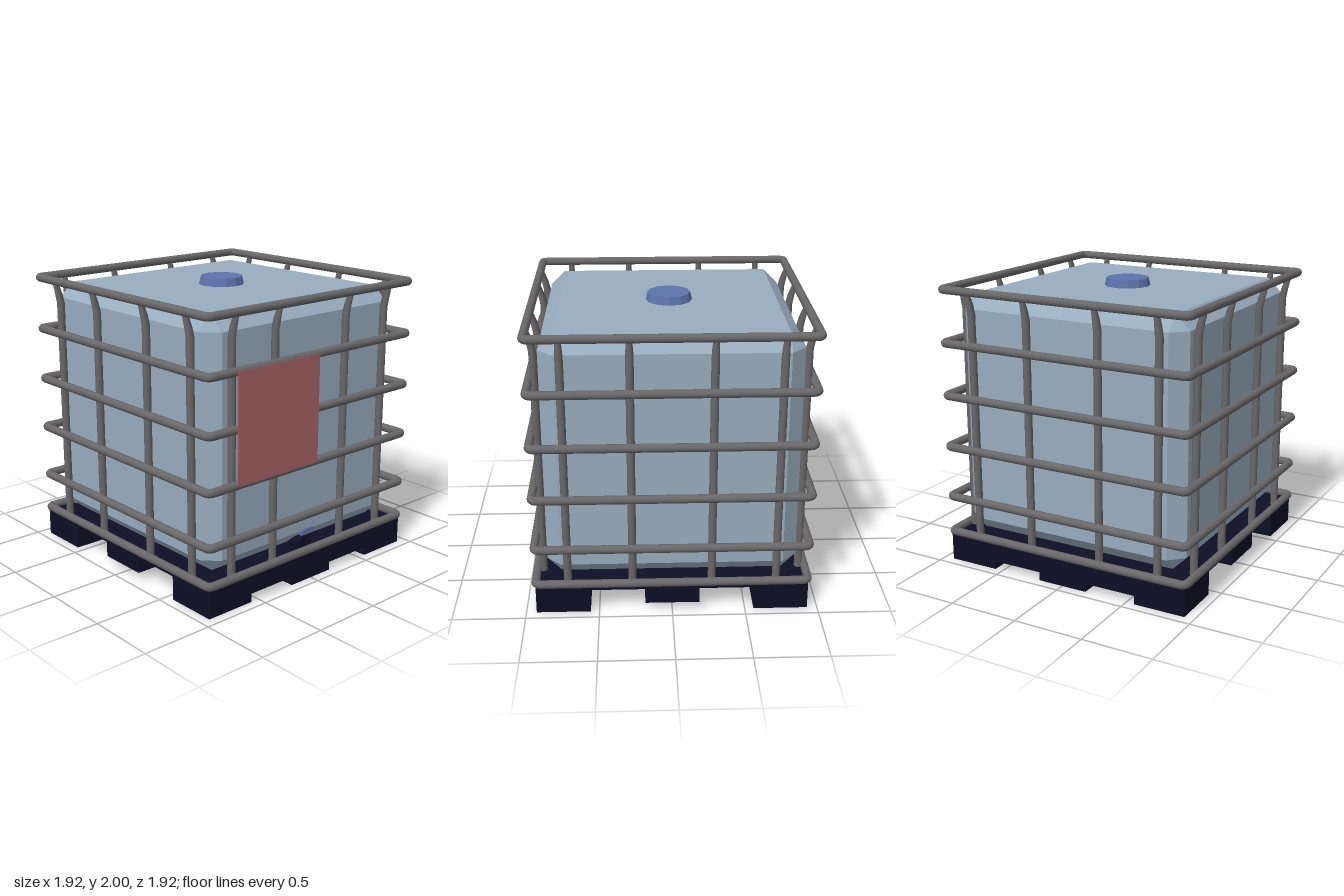
import * as THREE from 'three';
import { ConvexGeometry } from 'three/addons/geometries/ConvexGeometry.js';

const mat = (name, color, flatShading = false) => {
  const m = new THREE.MeshStandardMaterial({ color, flatShading });
  m.name = name;
  return m;
};

export function createModel() {
  const steel = mat('grey steel', 0x696767);
  const plastic = mat('pale blue plastic', 0x98adbf, true);
  const black = mat('navy black', 0x0e0e26, true);
  const blue = mat('cap blue', 0x5d73ab, true);
  const red = mat('panel red', 0xaa6464);

  const model = new THREE.Group();
  model.name = 'caged tank on pallet';
  const add = (parent, name, geometry, material, x = 0, y = 0, z = 0) => {
    const mesh = new THREE.Mesh(geometry, material);
    mesh.name = name;
    mesh.position.set(x, y, z);
    parent.add(mesh);
    return mesh;
  };
  const group = (name) => {
    const g = new THREE.Group();
    g.name = name;
    model.add(g);
    return g;
  };
  // Box given by its limits
  const block = (parent, name, material, x0, x1, y0, y1, z0, z1) =>
    add(parent, name, new THREE.BoxGeometry(x1 - x0, y1 - y0, z1 - z0), material,
      (x0 + x1) / 2, (y0 + y1) / 2, (z0 + z1) / 2);

  // Pallet: deck, three stringers, and feet under the front and back stringers
  const pallet = group('pallet');
  block(pallet, 'deck', black, -0.93, 0.93, 0.17, 0.205, -0.93, 0.93);
  for (const z of [-0.745, 0, 0.745]) {
    block(pallet, 'stringer', black, -0.93, 0.93, 0.06, 0.17, z - 0.185, z + 0.185);
    if (z === 0) continue;
    for (const x of [-0.745, 0, 0.745])
      block(pallet, 'foot', black, x - 0.185, x + 0.185, 0, 0.06, z - 0.185, z + 0.185);
  }

  // Tank: a box with every edge chamfered
  const half = [0.857, 0.855, 0.857], bevel = 0.1, points = [];
  for (const sx of [-1, 1]) for (const sy of [-1, 1]) for (const sz of [-1, 1])
    for (let axis = 0; axis < 3; axis++) {
      const p = half.map((h, i) => (i === axis ? h : h - bevel));
      points.push(new THREE.Vector3(sx * p[0], sy * p[1], sz * p[2]));
    }
  add(model, 'tank', new ConvexGeometry(points), plastic, 0, 1.085, -0.002);

  // Filling cap
  add(model, 'cap', new THREE.CylinderGeometry(0.148, 0.162, 0.06, 12), blue, 0, 1.965, -0.008);

  // Outlet valve with its handle
  const valve = group('valve');
  add(valve, 'outlet', new THREE.CylinderGeometry(0.06, 0.06, 0.11, 10), black, 0, 0.235, 0.81)
    .rotation.x = Math.PI / 2;
  block(valve, 'handleStem', blue, -0.015, 0.015, 0.28, 0.325, 0.825, 0.855);
  block(valve, 'handle', blue, -0.018, 0.08, 0.318, 0.34, 0.83, 0.868);

  // Horizontal cage rings: straight tubes joined by quarter bends
  const cage = group('cage');
  const R = 0.929, bend = 0.035, r = 0.029;
  const tube = new THREE.CylinderGeometry(r, r, 2 * (R - bend), 12, 1, true).rotateZ(Math.PI / 2);
  const elbow = new THREE.TorusGeometry(bend, r, 12, 5, Math.PI / 2).rotateX(Math.PI / 2);
  for (const y of [0.22, 0.485, 0.857, 1.228, 1.6, 1.97]) {
    const ring = new THREE.Group();
    ring.name = 'ring';
    ring.position.y = y;
    cage.add(ring);
    for (let i = 0; i < 4; i++) {
      const side = new THREE.Group();
      side.name = 'ringSide';
      side.rotation.y = i * Math.PI / 2;
      ring.add(side);
      add(side, 'tube', tube, steel, 0, 0, R);
      add(side, 'bend', elbow, steel, R - bend, 0, R - bend);
    }
  }

  // Upright posts: straight, then narrowing and curving outward to the top ring
  const rows = [ // height, outward shift, width scale
    [1.968, 0.043, 0.6], [1.935, 0.032, 0.78], [1.88, 0.015, 0.93], [1.81, 0, 1], [0.2, 0, 1],
  ];
  const post = new THREE.CylinderGeometry(0.027, 0.027, 1, 12, rows.length - 1, true);
  const pos = post.attributes.position;
  for (let i = 0; i < pos.count; i++) {
    const [y, out, scale] = rows[Math.round((0.5 - pos.getY(i)) * (rows.length - 1))];
    pos.setXYZ(i, pos.getX(i) * scale, y, pos.getZ(i) * scale + out);
  }
  const even = [-0.71, -0.27, 0.27, 0.71];
  [[-0.705, -0.335, 0.32, 0.705], even, even, even].forEach((offsets, i) => {
    const side = new THREE.Group();
    side.name = 'postRow';
    side.rotation.y = i * Math.PI / 2;
    cage.add(side);
    for (const x of offsets) add(side, 'post', post, steel, x, 0, 0.888);
  });

  // Plate on the front of the cage
  block(model, 'panel', red, -0.715, 0.003, 0.86, 1.607, 0.957, 0.962);

  return model;
}
